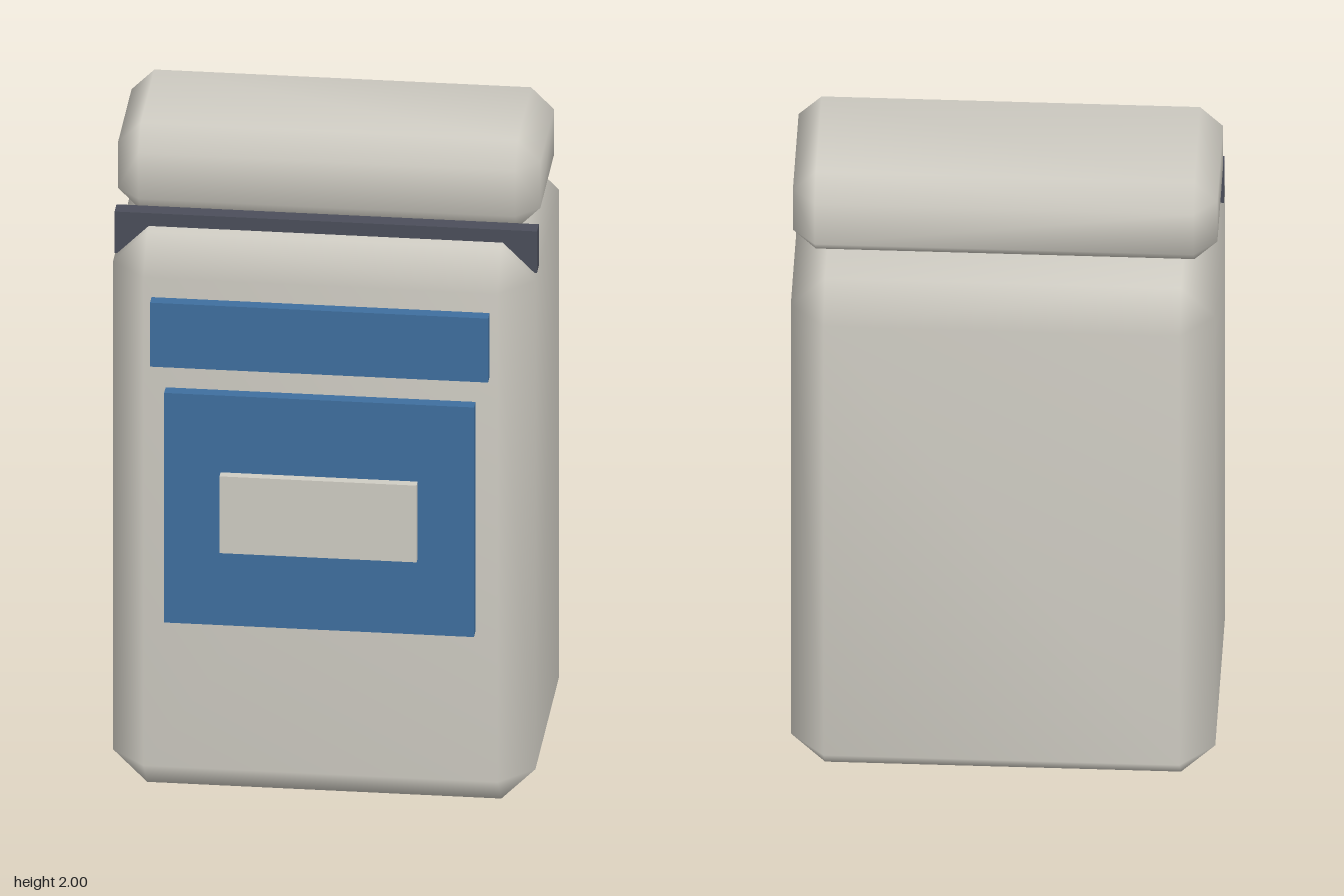
import * as THREE from 'three';
import { mergeVertices } from 'three/addons/utils/BufferGeometryUtils.js';
import { ConvexGeometry } from 'three/addons/geometries/ConvexGeometry.js';

const shell = new THREE.MeshStandardMaterial({ name: 'warm grey shell', color: 0xcfccc3 });
const blue = new THREE.MeshStandardMaterial({ name: 'blue panel', color: 0x3f6f9f });
const dark = new THREE.MeshStandardMaterial({ name: 'dark trim', color: 0x4b4e5a });

// Box with every edge chamfered by c, shaded smoothly across the chamfers
function chamferBox(w, h, d, c) {
  const points = [];
  const [x, y, z] = [w / 2, h / 2, d / 2];
  for (const sx of [-1, 1]) for (const sy of [-1, 1]) for (const sz of [-1, 1]) {
    points.push(
      new THREE.Vector3(sx * x, sy * (y - c), sz * (z - c)),
      new THREE.Vector3(sx * (x - c), sy * y, sz * (z - c)),
      new THREE.Vector3(sx * (x - c), sy * (y - c), sz * z),
    );
  }
  const hull = new ConvexGeometry(points);
  hull.deleteAttribute('normal');
  const geometry = mergeVertices(hull);
  geometry.computeVertexNormals();
  return geometry;
}

export function createModel() {
  const group = new THREE.Group();
  group.name = 'backpack';

  // Adds a box given by its limits; a chamfer makes it a soft block
  function block(name, material, [x0, x1], [y0, y1], [z0, z1], chamfer = 0) {
    const size = [x1 - x0, y1 - y0, z1 - z0];
    const geometry = chamfer ? chamferBox(...size, chamfer) : new THREE.BoxGeometry(...size);
    const mesh = new THREE.Mesh(geometry, material);
    mesh.name = name;
    mesh.position.set((x0 + x1) / 2, (y0 + y1) / 2, (z0 + z1) / 2);
    group.add(mesh);
  }

  // Soft main block and the roll on top
  block('body', shell, [-0.6, 0.6], [0, 1.72], [-0.432, 0.368], 0.097);
  block('topRoll', shell, [-0.6, 0.6], [1.727, 2], [-0.272, 0.208], 0.065);

  // Dark bar across the upper front
  block('topBar', dark, [-0.6, 0.6], [1.63, 1.76], [0.184, 0.232]);

  // Raised front panels
  block('upperPanel', blue, [-0.48, 0.48], [1.363, 1.563], [0.36, 0.405]);
  block('frontPocket', blue, [-0.44, 0.44], [0.565, 1.283], [0.36, 0.405]);
  block('pocketPlate', shell, [-0.28, 0.28], [0.803, 1.043], [0.4, 0.432]);

  return group;
}
